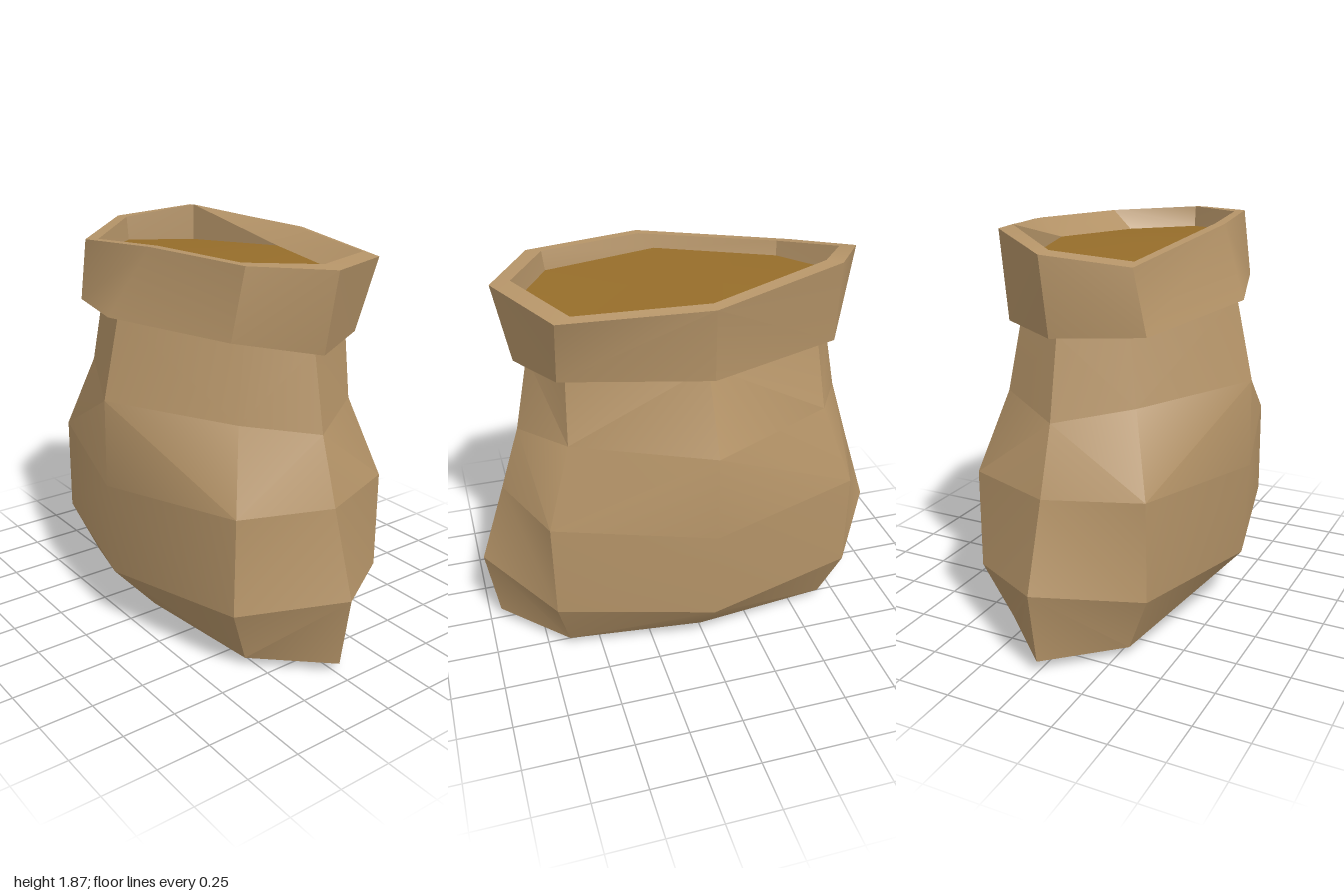
import * as THREE from 'three';
import { mergeGeometries, toCreasedNormals } from 'three/addons/utils/BufferGeometryUtils.js';

const cloth = new THREE.MeshStandardMaterial({ color: 0xb59468 });
cloth.name = 'tan cloth';
const grain = new THREE.MeshStandardMaterial({ color: 0x966d2a });
grain.name = 'golden brown filling';

// Symmetric eight-point ring from its side, corner and middle points
function ring([sx, sy], [cx, cy, cz], [my, mz]) {
  return [
    [sx, sy, 0], [cx, cy, cz], [0, my, mz], [-cx, cy, cz],
    [-sx, sy, 0], [-cx, cy, -cz], [0, my, -mz], [cx, cy, -cz],
  ];
}

// One band of quads between two rings, smooth around and sharp at its edges
function band(lo, hi) {
  const pos = [];
  const tri = (...pts) => {
    const [a, b, c] = pts.map((p) => new THREE.Vector3(...p));
    if (b.clone().sub(a).cross(c.clone().sub(a)).length() > 1e-6) pos.push(...pts.flat());
  };
  for (let i = 0; i < lo.length; i++) {
    const j = (i + 1) % lo.length;
    if (i % 2) {
      tri(lo[i], hi[i], hi[j]);
      tri(lo[i], hi[j], lo[j]);
    } else {
      tri(lo[i], hi[i], lo[j]);
      tri(lo[j], hi[i], hi[j]);
    }
  }
  const geo = new THREE.BufferGeometry();
  geo.setAttribute('position', new THREE.Float32BufferAttribute(pos, 3));
  return toCreasedNormals(geo, 0.68);
}

// Skin of bands through the rings, listed from the bottom up
function loft(rings) {
  return mergeGeometries(rings.slice(1).map((hi, r) => band(rings[r], hi)));
}

export function createModel() {
  const group = new THREE.Group();
  group.name = 'sack';
  const add = (name, geo, mat) => {
    const mesh = new THREE.Mesh(geo, mat);
    mesh.name = name;
    group.add(mesh);
  };

  // Bulging body, from the keel underneath to the neck
  const neck = [
    [0.71, 1.45, 0], [0.565, 1.5, 0.26], [0, 1.53, 0.515], [-0.565, 1.5, 0.26],
    [-0.71, 1.45, 0], [-0.565, 1.5, -0.25], [0, 1.5, -0.42], [0.59, 1.47, -0.28],
  ];
  add('body', loft([
    ring([0.65, 0], [0.65, 0, 0], [0, 0]),
    ring([0.945, 0.055], [0.65, 0.045, 0.3], [0.035, 0.36]),
    ring([1, 0.395], [0.715, 0.325, 0.415], [0.285, 0.58]),
    ring([0.875, 0.785], [0.72, 0.785, 0.41], [0.735, 0.605]),
    ring([0.78, 1.09], [0.6, 1.145, 0.31], [1.145, 0.6]),
    neck,
  ]), cloth);

  // Uneven folded collar: outer bottom, outer rim, inner rim, filling line
  const bottom = [
    [0.77, 1.435, 0], [0.61, 1.51, 0.36], [-0.02, 1.515, 0.555], [-0.61, 1.455, 0.36],
    [-0.775, 1.45, 0], [-0.64, 1.47, -0.27], [0, 1.485, -0.52], [0.63, 1.46, -0.3],
  ];
  const outerRim = [
    [0.84, 1.8, 0], [0.635, 1.82, 0.31], [0.1, 1.825, 0.41], [-0.635, 1.74, 0.31],
    [-0.84, 1.8, 0], [-0.635, 1.855, -0.31], [0, 1.805, -0.525], [0.64, 1.775, -0.415],
  ];
  const innerRim = [
    [0.75, 1.81, 0], [0.57, 1.82, 0.28], [0.1, 1.825, 0.365], [-0.56, 1.75, 0.28],
    [-0.755, 1.805, 0], [-0.565, 1.865, -0.285], [0, 1.815, -0.475], [0.57, 1.79, -0.385],
  ];
  const fillLine = [
    [0.74, 1.71, 0], [0.56, 1.73, 0.27], [0.03, 1.75, 0.355], [-0.555, 1.68, 0.27],
    [-0.74, 1.69, 0], [-0.56, 1.69, -0.28], [0, 1.73, -0.375], [0.56, 1.7, -0.285],
  ];
  add('collar', loft([neck, bottom, outerRim, innerRim, fillLine]), cloth);

  // Filling, closed as a shallow fan
  add('filling', band(fillLine, fillLine.map(() => [0, 1.74, 0])), grain);

  return group;
}
